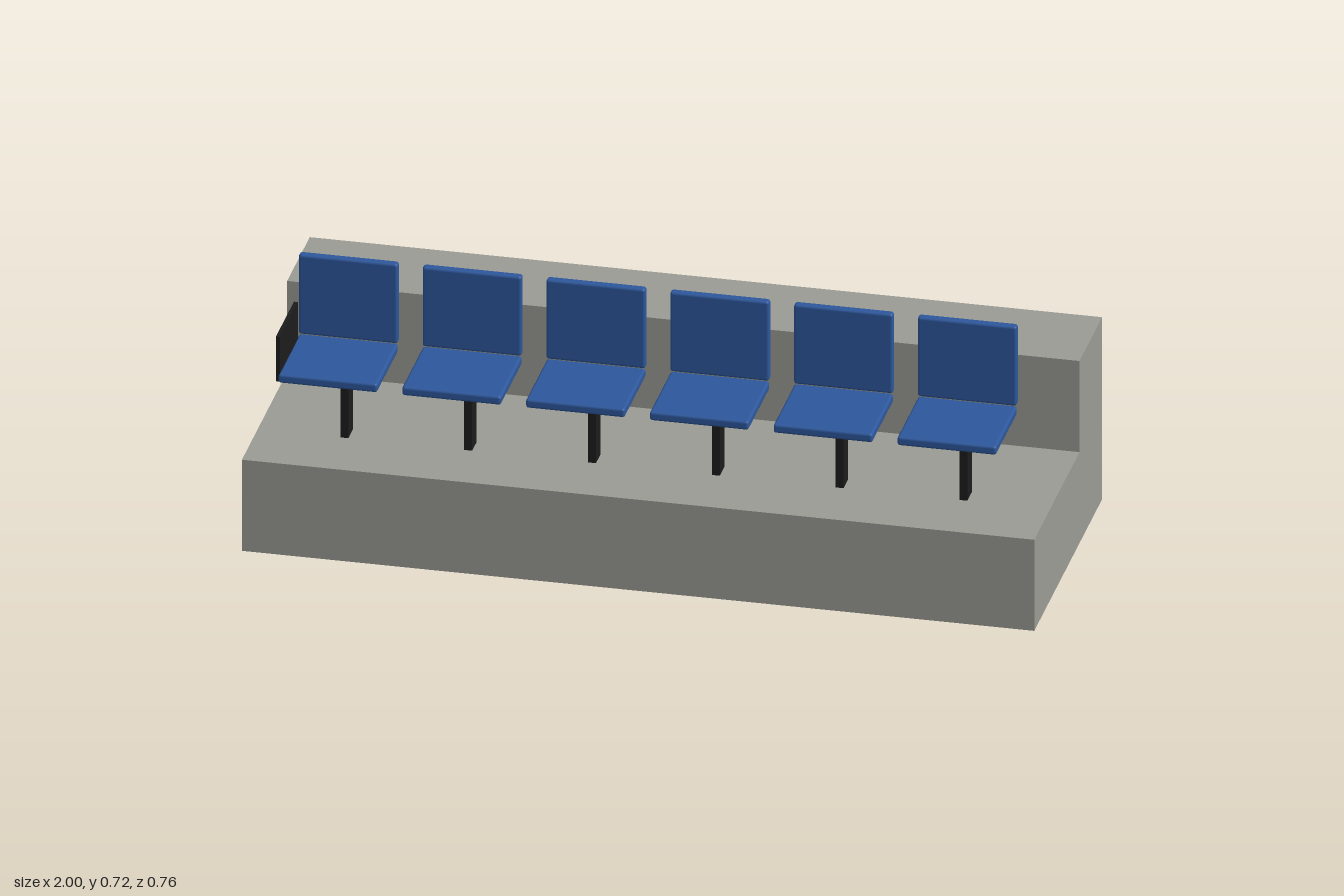
import * as THREE from 'three';
import { RoundedBoxGeometry } from 'three/addons/geometries/RoundedBoxGeometry.js';

export function createModel() {
  const model = new THREE.Group();
  model.name = 'stadiumSeatRow';

  const material = (name, color) => {
    const m = new THREE.MeshStandardMaterial({ color });
    m.name = name;
    return m;
  };
  const concrete = material('concrete', 0x9c9c95);
  const blue = material('seatBlue', 0x2d589d);
  const black = material('blackMetal', 0x1c1c1c);

  const add = (parent, name, geometry, mat, x, y, z) => {
    const mesh = new THREE.Mesh(geometry, mat);
    mesh.name = name;
    mesh.position.set(x, y, z);
    parent.add(mesh);
    return mesh;
  };

  // Concrete terrace: stepped side profile (depth, height) extruded along x
  const profile = new THREE.Shape(
    [[-0.37, 0], [0.38, 0], [0.38, 0.5], [0.13, 0.5], [0.13, 0.25], [-0.37, 0.25]]
      .map(([d, h]) => new THREE.Vector2(d, h))
  );
  const terraceGeometry = new THREE.ExtrudeGeometry(profile, { depth: 2, bevelEnabled: false });
  terraceGeometry.translate(0, 0, -1).rotateY(Math.PI / 2);
  // the quarter turn maps profile depth d to z = -d
  add(model, 'terrace', terraceGeometry, concrete, 0, 0, 0);

  // Row of six seats, each on a single flat post
  const cushionGeometry = new RoundedBoxGeometry(0.25, 0.024, 0.236, 2, 0.007);
  const backGeometry = new RoundedBoxGeometry(0.25, 0.218, 0.023, 2, 0.007);
  const postGeometry = new THREE.BoxGeometry(0.02, 0.228, 0.05);
  const count = 6, pitch = 0.3125;
  for (let i = 0; i < count; i++) {
    const seat = new THREE.Group();
    seat.name = `seat${i + 1}`;
    seat.position.x = (i - (count - 1) / 2) * pitch;
    add(seat, 'seatPan', cushionGeometry, blue, 0, 0.488, 0.264);
    add(seat, 'backrest', backGeometry, blue, 0, 0.611, 0.145);
    add(seat, 'post', postGeometry, black, 0, 0.364, 0.17);
    model.add(seat);
  }

  // Thin end panel beside the outermost seat on the right
  add(model, 'endPanel', new THREE.BoxGeometry(0.01, 0.122, 0.2), black, -0.908, 0.539, 0.276);

  return model;
}
